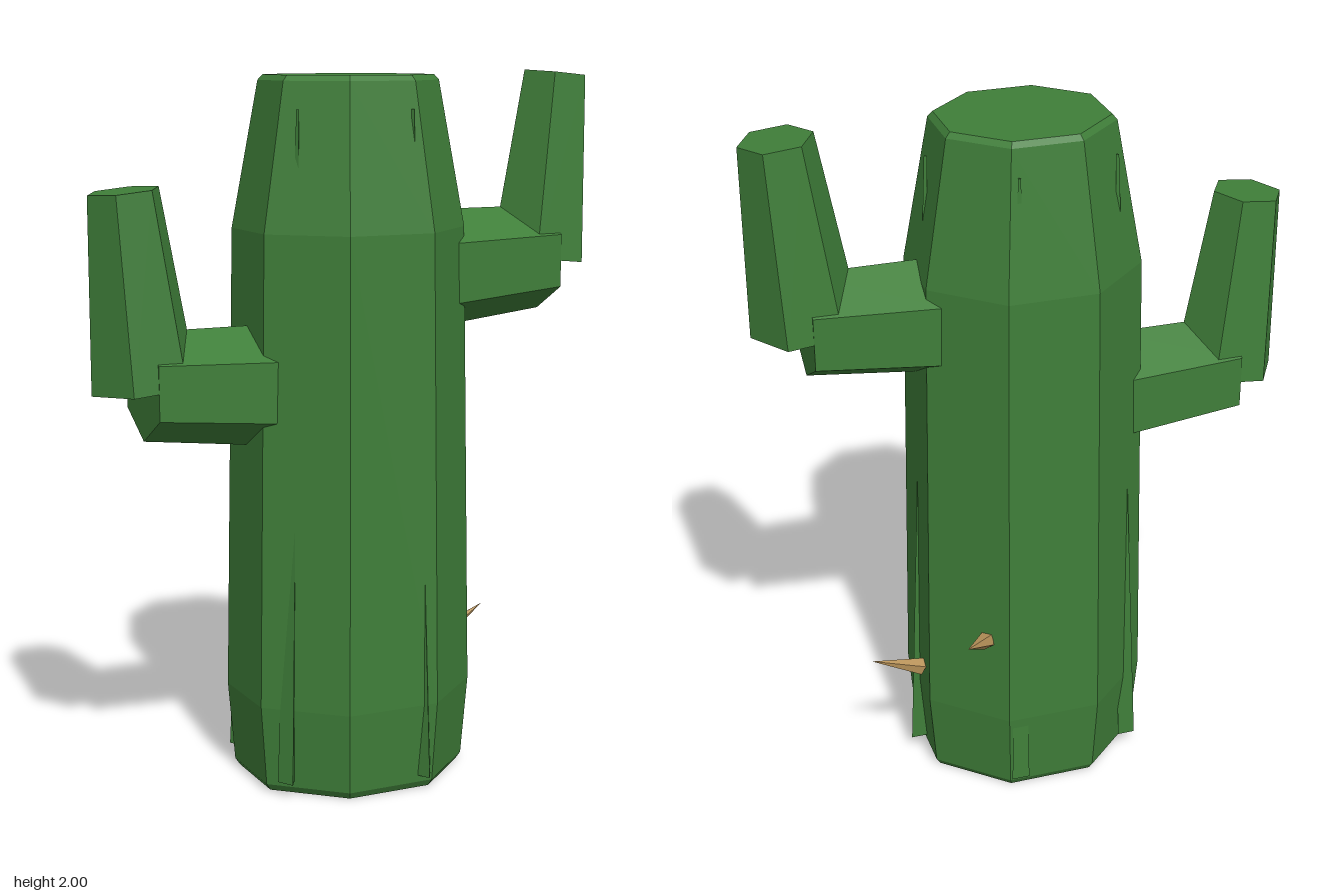
import * as THREE from 'three';

const CENTER_Z = 0.025;

export function createModel() {
  const model = new THREE.Group();
  const green = new THREE.MeshStandardMaterial({ color: 0x3f7e39, flatShading: true });
  green.name = 'cactus green';
  const tan = new THREE.MeshStandardMaterial({ color: 0xb8935a, flatShading: true });
  tan.name = 'thorn tan';

  function add(parent, name, geometry, material) {
    const mesh = new THREE.Mesh(geometry, material);
    mesh.name = name;
    parent.add(mesh);
    return mesh;
  }

  // Moves every vertex by a rule
  function bend(geometry, rule) {
    const p = geometry.attributes.position;
    const v = new THREE.Vector3();
    for (let i = 0; i < p.count; i++) {
      rule(v.fromBufferAttribute(p, i));
      p.setXYZ(i, v.x, v.y, v.z);
    }
    geometry.computeVertexNormals();
    return geometry;
  }

  // Eight-sided trunk with flats facing front and sides, slightly shallower than wide
  const flats = [[0, 0], [0.297, 0], [0.31, 0.02], [0.328, 0.25], [0.305, 1.57], [0.235, 1.975], [0.222, 1.99], [0, 1.99]];
  const profile = flats.map(([r, y]) => new THREE.Vector2(r / Math.cos(Math.PI / 8), y));
  const trunk = add(model, 'trunk', new THREE.LatheGeometry(profile, 8, Math.PI / 8), green);
  trunk.scale.z = 0.91;
  trunk.position.z = CENTER_Z;

  // Five thin three-sided ribs that lean inward and surface near the base and top
  for (let i = 0; i < 5; i++) {
    const a = (i * Math.PI * 2) / 5;
    const rib = new THREE.CylinderGeometry(0.005, 0.03, 1.86, 3);
    rib.translate(0, 0.97, 0);
    bend(rib, (v) => {
      const r = THREE.MathUtils.mapLinear(v.y, 0.04, 1.9, 0.333, 0.267);
      v.x += Math.cos(a) * r;
      v.z += Math.sin(a) * r * 0.91 + CENTER_Z;
    });
    add(model, 'rib', rib, green);
  }

  // Arm: six-sided branch plus a tapered six-sided upright with sloping ends
  function addArm(name, y, turn) {
    const arm = new THREE.Group();
    arm.name = name;
    arm.position.set(0, y, CENTER_Z);
    arm.rotation.y = turn;
    model.add(arm);

    const branch = new THREE.CylinderGeometry(0.15, 0.17, 0.355, 6, 1, false, Math.PI / 2);
    branch.rotateZ(-Math.PI / 2);
    bend(branch, (v) => {
      v.x += 0.4375;
      v.y += THREE.MathUtils.mapLinear(v.x, 0.26, 0.615, 0, 0.02);
    });
    add(arm, 'branch', branch, green);

    const upright = new THREE.CylinderGeometry(0.1, 0.15, 0.53, 6, 1, false, Math.PI / 2);
    bend(upright, (v) => {
      const lean = THREE.MathUtils.mapLinear(v.y, -0.265, 0.265, 0.61, 0.66);
      v.y += 0.285 - v.x * 0.1;
      v.x += lean;
    });
    add(arm, 'upright', upright, green);
  }
  addArm('leftArm', 1.44, 0);
  addArm('rightArm', 1.14, Math.PI);

  // Two thorns on the left and back
  const thorns = [
    [new THREE.Vector3(0.335, 0.33, -0.035), new THREE.Vector3(0.49, 0.4, -0.065)],
    [new THREE.Vector3(0.19, 0.515, -0.225), new THREE.Vector3(0.28, 0.585, -0.35)],
  ];
  for (const [base, tip] of thorns) {
    const axis = tip.clone().sub(base);
    const thorn = add(model, 'thorn', new THREE.ConeGeometry(0.026, axis.length(), 5), tan);
    thorn.position.copy(base).addScaledVector(axis, 0.5);
    thorn.quaternion.setFromUnitVectors(new THREE.Vector3(0, 1, 0), axis.normalize());
  }

  return model;
}
